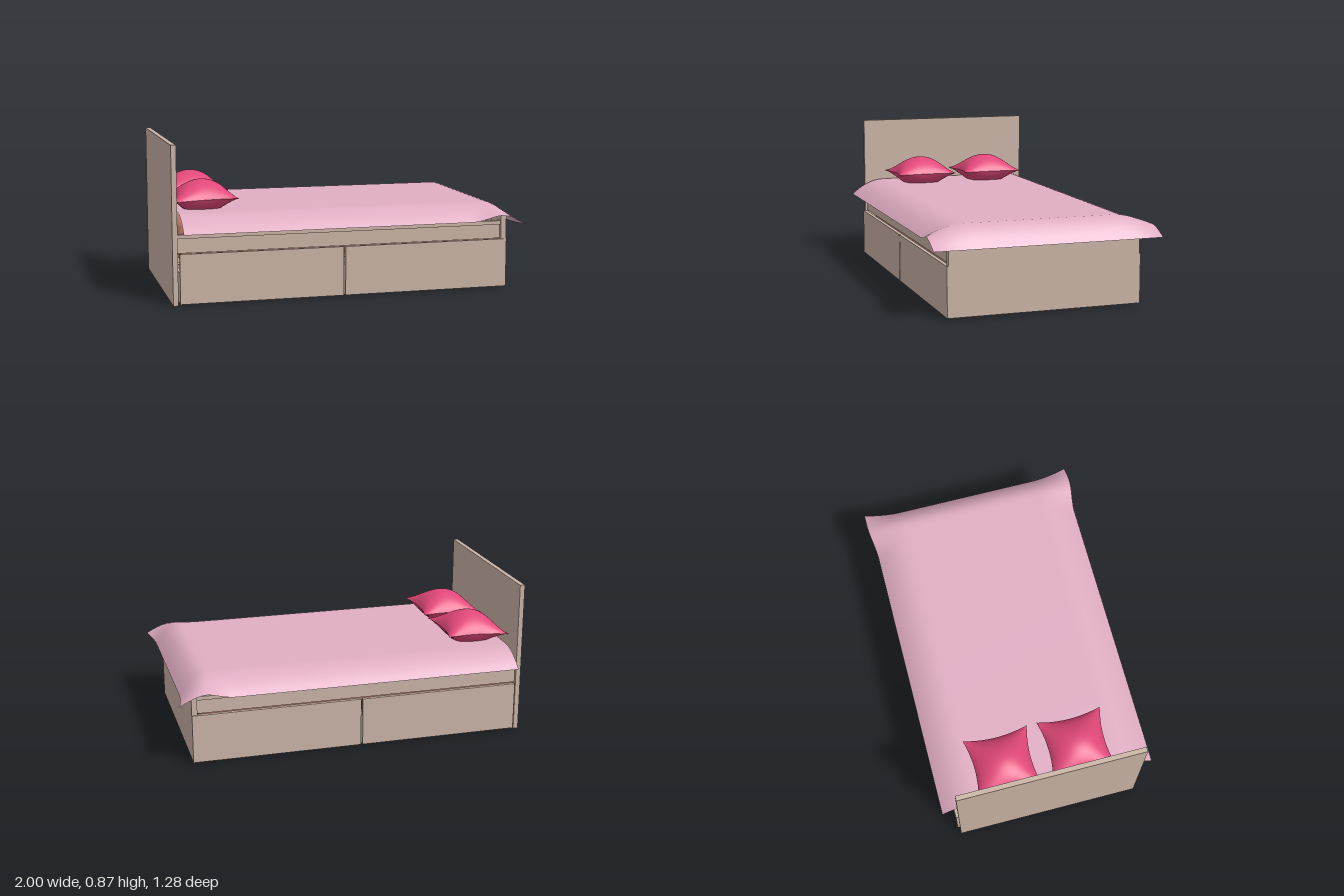
import * as THREE from 'three';
import { RoundedBoxGeometry } from 'three/addons/geometries/RoundedBoxGeometry.js';
import { mergeVertices } from 'three/addons/utils/BufferGeometryUtils.js';

const material = (color, side = THREE.FrontSide) => new THREE.MeshStandardMaterial({ color, side });
const wood = material(0xc9b2a5);
const ticking = material(0xc98370);
const linen = material(0xe0adc3, THREE.DoubleSide);
const satin = material(0xe2487a);

function add(parent, name, geometry, mat) {
  const mesh = new THREE.Mesh(geometry, mat);
  mesh.name = name;
  parent.add(mesh);
  return mesh;
}

// Box given by its lower and upper bounds on each axis
function board(parent, name, [x0, x1], [y0, y1], [z0, z1]) {
  const mesh = add(parent, name, new THREE.BoxGeometry(x1 - x0, y1 - y0, z1 - z0), wood);
  mesh.position.set((x0 + x1) / 2, (y0 + y1) / 2, (z0 + z1) / 2);
  return mesh;
}

// Upward-facing grid whose points (u, v in -1..1) are placed by a rule
function sheet(nu, nv, rule) {
  const geometry = new THREE.PlaneGeometry(2, 2, nu, nv);
  const p = geometry.attributes.position;
  for (let i = 0; i < p.count; i++) p.setXYZ(i, ...rule(p.getX(i), -p.getY(i)));
  geometry.computeVertexNormals();
  return geometry;
}

// Blanket: flat on top, draped over both sides and the foot, flared at the corners
function blanketGeometry() {
  const { clamp, smoothstep, lerp } = THREE.MathUtils;
  return sheet(80, 56, (u, v) => {
    const x = lerp(-0.95, 0.965, (u + 1) / 2);
    const z = v * 0.62;
    const side = clamp((Math.abs(z) - 0.42) / 0.2, 0, 1) ** 2;
    const foot = clamp((x - 0.82) / 0.145, 0, 1) ** 1.8;
    const flare = smoothstep(x, 0.68, 0.9);
    const drop = 0.09 * side * (1 - 0.5 * flare) + 0.115 * foot * (1 - 0.45 * side);
    return [x + 0.03 * side * foot, 0.49 - drop, z + Math.sign(z) * 0.022 * side * flare];
  });
}

// Square cushion half: puffed centre, pinched concave edges, pointed corners
function pillowHalf(flip) {
  return sheet(28, 28, (u, v) => {
    const puff = ((1 - u * u) * (1 - v * v)) ** 0.75;
    const x = 0.183 * u * (1 - 0.14 * (1 - v * v));
    const z = 0.188 * v * (1 - 0.14 * (1 - u * u));
    return [x, flip * 0.098 * puff, z * flip];
  });
}

// Open drawer box with an outer front panel, built for the +z side
function drawer(x0, x1, frontEnd, side) {
  const group = new THREE.Group();
  group.name = 'drawer';
  const span = (a, b) => (side > 0 ? [a, b] : [-b, -a]);
  const t = 0.018;
  board(group, 'drawerFront', [x0, frontEnd], [0.01, 0.285], span(0.525, 0.547));
  board(group, 'drawerFloor', [x0, x1], [0.01, 0.028], span(0.2, 0.525));
  board(group, 'drawerBack', [x0, x1], [0.028, 0.08], span(0.2, 0.2 + t));
  for (const x of [x0, x1 - t]) {
    board(group, 'drawerSide', [x, x + t], [0.028, 0.178], span(0.2, 0.525));
  }
  return group;
}

export function createModel() {
  const bed = new THREE.Group();
  bed.name = 'bed';

  // End panels
  board(bed, 'headboard', [-1, -0.972], [0, 0.872], [-0.535, 0.532]);
  board(bed, 'footboard', [0.884, 0.915], [0.01, 0.426], [-0.54, 0.54]);

  // Side rails and drawers
  for (const side of [1, -1]) {
    const span = (a, b) => (side > 0 ? [a, b] : [-b, -a]);
    board(bed, 'sideRail', [-0.972, 0.884], [0.285, 0.366], span(0.497, 0.517));
    board(bed, 'railCap', [-0.972, 0.884], [0.366, 0.388], span(0.497, 0.53));
    bed.add(drawer(-0.963, -0.05, -0.05, side));
    bed.add(drawer(-0.04, 0.884, 0.915, side));
  }

  // Mattress
  const mattress = add(bed, 'mattress', new RoundedBoxGeometry(1.835, 0.242, 0.97, 4, 0.05), ticking);
  mattress.position.set(-0.05, 0.351, 0);

  // Bedding
  add(bed, 'blanket', blanketGeometry(), linen);
  for (const z of [0.21, -0.222]) {
    const pillow = new THREE.Group();
    pillow.name = 'pillow';
    add(pillow, 'pillowTop', mergeVertices(pillowHalf(1)), satin);
    // The lower half is the upper one turned over about the x axis
    add(pillow, 'pillowUnderside', mergeVertices(pillowHalf(-1)), satin);
    pillow.position.set(-0.787, 0.548, z);
    pillow.rotation.z = 0.03;
    bed.add(pillow);
  }
  return bed;
}
